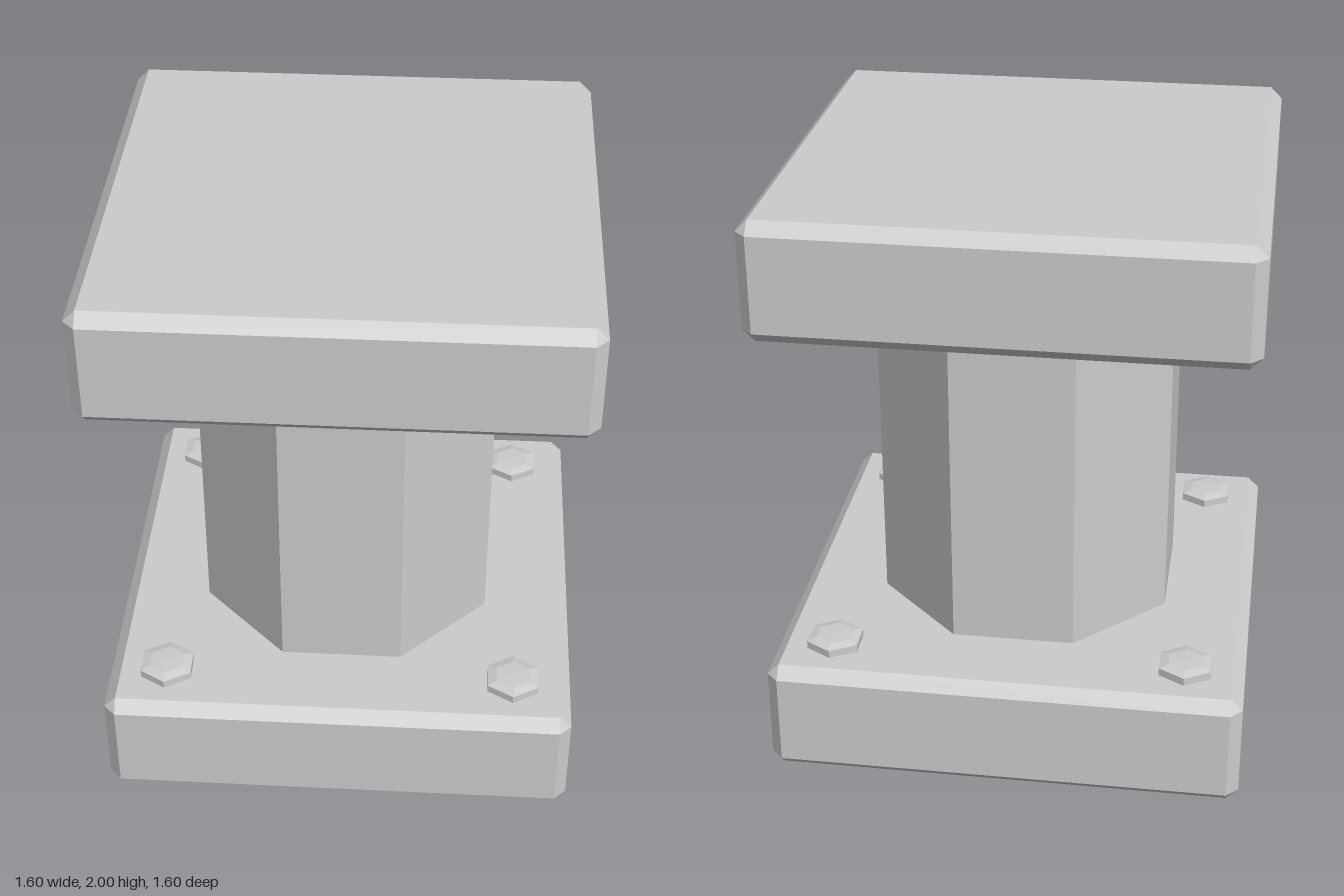
import * as THREE from 'three';
import { ConvexGeometry } from 'three/addons/geometries/ConvexGeometry.js';

const material = new THREE.MeshStandardMaterial({ color: 0xcccccc, flatShading: true });

function addPart(parent, name, geometry, x, y, z) {
  const mesh = new THREE.Mesh(geometry, material);
  mesh.name = name;
  mesh.position.set(x, y, z);
  parent.add(mesh);
  return mesh;
}

// Box with every edge chamfered: each corner becomes a small triangle
function chamferedBox(width, height, depth, chamfer) {
  const half = [width / 2, height / 2, depth / 2];
  const points = [];
  for (const sx of [-1, 1]) for (const sy of [-1, 1]) for (const sz of [-1, 1]) {
    for (let outer = 0; outer < 3; outer++) {
      const c = half.map((h, axis) => (axis === outer ? h : h - chamfer));
      points.push(new THREE.Vector3(sx * c[0], sy * c[1], sz * c[2]));
    }
  }
  return new ConvexGeometry(points);
}

export function createModel() {
  const model = new THREE.Group();
  model.name = 'pillar';

  // Base and top slabs
  const slab = chamferedBox(1.6, 0.4, 1.6, 0.04);
  addPart(model, 'baseSlab', slab, 0, 0.2, 0);
  addPart(model, 'topSlab', slab, 0, 1.8, 0);

  // Octagonal column with its flats facing the four sides
  const radius = 0.5 / Math.cos(Math.PI / 8);
  const shaft = new THREE.CylinderGeometry(radius, radius, 1.2, 8, 1, true);
  shaft.rotateY(Math.PI / 8);
  addPart(model, 'column', shaft, 0, 1, 0);

  // Hexagonal bolt heads with slightly domed tops, on the inner slab faces
  const profile = [[0.1, -0.01], [0.1, 0.027], [0.065, 0.036], [0, 0.038]];
  const bolt = new THREE.LatheGeometry(profile.map(([r, y]) => new THREE.Vector2(r, y)), 6);
  for (const x of [-0.6, 0.6]) for (const z of [-0.6, 0.6]) {
    addPart(model, 'baseBolt', bolt, x, 0.4, z);
    addPart(model, 'topBolt', bolt, x, 1.6, z).rotation.x = Math.PI;
  }

  return model;
}
